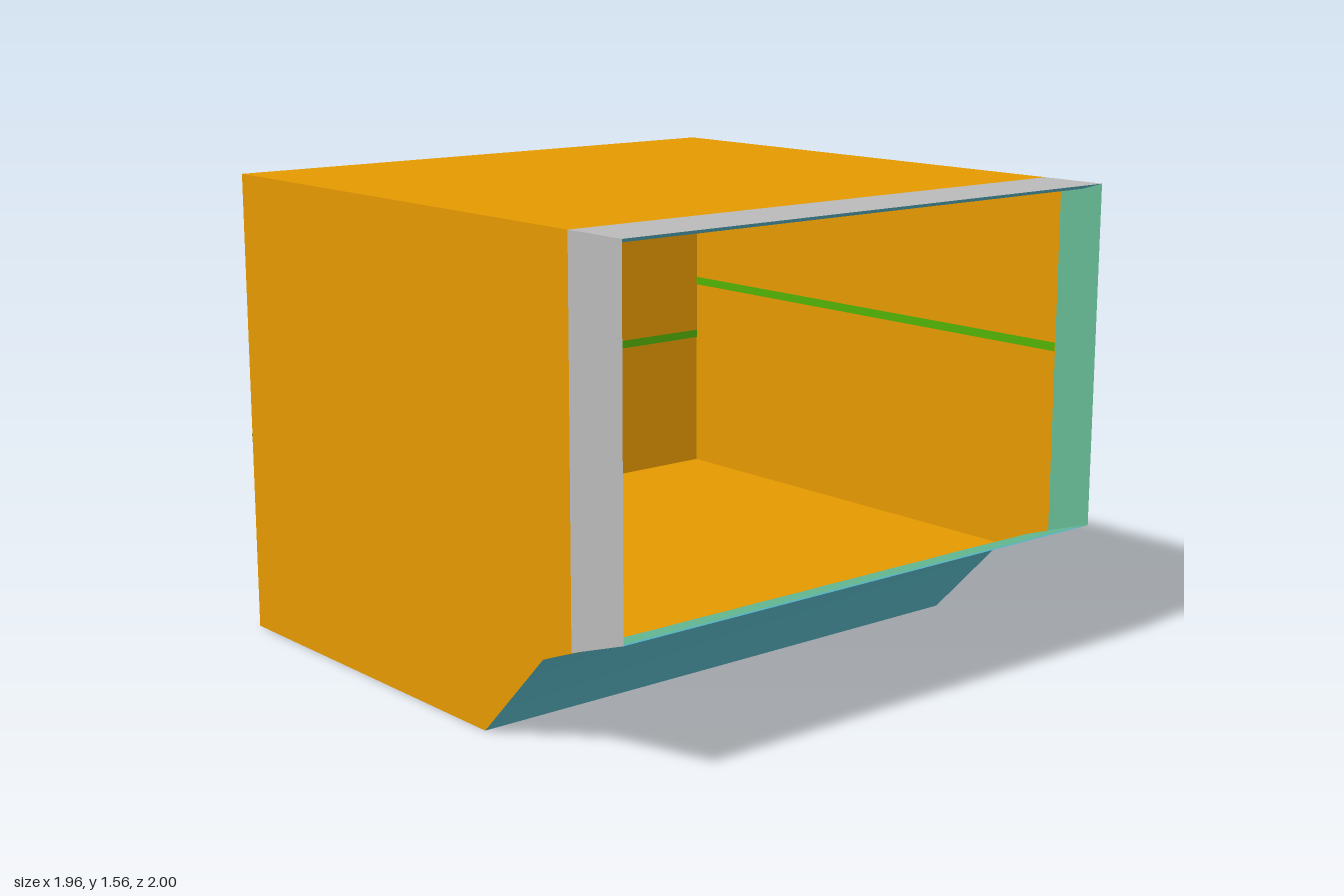
import * as THREE from 'three';
import { mergeVertices } from 'three/addons/utils/BufferGeometryUtils.js';

const W = 0.98, IW = 0.96;          // outer and inner half widths
const TOP = 1.56, CEIL = 1.54;      // roof and ceiling heights
const BACK = -1, IBACK = -0.95;     // outer and inner back planes
const BAND = 0.765, FLOOR = 0.3;    // start of the grey trim, floor height
const LINE = 0.029;                 // width of the painted lines

const paint = (name, color) => {
  const m = new THREE.MeshStandardMaterial({ color, side: THREE.DoubleSide });
  m.name = name;
  return m;
};

export function createModel() {
  const orange = paint('orange', 0xe49800);
  const grey = paint('grey', 0xb9b9b9);
  const teal = paint('teal', 0x57b3c2);
  const seaGreen = paint('sea green', 0x64b892);
  const lineGreen = paint('line green', 0x52b006);
  const model = new THREE.Group();

  const add = (name, geometry, material) => {
    const mesh = new THREE.Mesh(geometry, material);
    mesh.name = name;
    model.add(mesh);
    return mesh;
  };
  // flat polygon, with an optional hole
  const flat = (pts, hole) => {
    const shape = new THREE.Shape(pts.map(p => new THREE.Vector2(...p)));
    if (hole) shape.holes.push(new THREE.Path(hole.map(p => new THREE.Vector2(...p))));
    return new THREE.ShapeGeometry(shape);
  };
  // polygon given as (z, y), standing at a given x
  const sideSheet = (name, pts, x, material) =>
    add(name, flat(pts).rotateY(-Math.PI / 2).translate(x, 0, 0), material);
  // four-cornered sheets, corners in order round the edge
  const quads = (name, list, material, smooth = false) => {
    const pos = [];
    for (const [a, b, c, d] of list) pos.push(...a, ...b, ...c, ...a, ...c, ...d);
    let g = new THREE.BufferGeometry();
    g.setAttribute('position', new THREE.Float32BufferAttribute(pos, 3));
    if (smooth) g = mergeVertices(g);
    g.computeVertexNormals();
    return add(name, g, material);
  };
  // (z, y) profile swept across the width
  const across = (name, pts, w, material, smooth) => quads(name, pts.slice(1).map(([z, y], i) => {
    const [pz, py] = pts[i];
    return [[-w, py, pz], [w, py, pz], [w, y, z], [-w, y, z]];
  }), material, smooth);
  const rect = (u0, v0, u1, v1) => [[u0, v0], [u1, v0], [u1, v1], [u0, v1]];

  // outer shell
  for (const s of [1, -1]) {
    sideSheet('sideWall', [[BACK, 0], [0.335, 0], [0.63, FLOOR], [BAND, 0.355], [BAND, TOP], [BACK, TOP]], s * W, orange);
    sideSheet('sideTrim', [[BAND, 0.355], [1, 0.435], [1, TOP], [BAND, TOP]], s * W, grey);
  }
  across('roof', [[BAND, TOP], [BACK, TOP]], W, orange);
  across('roofTrim', [[1, TOP], [BAND, TOP]], W, grey);
  across('frontApron', [[0.335, 0], [0.63, FLOOR], [BAND, 0.355], [1, 0.435]], W, teal, true);

  // back wall, double skinned around the window
  const win = [[-0.25, FLOOR], [-0.25, 0.87], [0.2, 0.87], [0.2, FLOOR]];
  add('backWall', flat([[-W, 0], [W, 0], [W, TOP], [-W, TOP]], win).translate(0, 0, BACK), orange);
  add('innerBackWall', flat([[-IW, FLOOR], ...win, [IW, FLOOR], [IW, CEIL], [-IW, CEIL]])
    .translate(0, 0, IBACK), orange);
  quads('windowReveal', [0, 1, 2].map(i => {
    const a = win[i], b = win[i + 1];
    return [[...a, BACK], [...b, BACK], [...b, IBACK], [...a, IBACK]];
  }), orange);

  // interior
  across('floor', [[0.63, FLOOR], [IBACK, FLOOR]], W, orange);
  across('ceiling', [[IBACK, CEIL], [0.94, CEIL]], IW, teal);
  across('frontLedge', [[0.995, 0.438], [BAND, 0.36], [0.63, 0.305]], W - 0.002, seaGreen, true);
  for (const s of [1, -1]) {
    sideSheet('innerSideWall', [[IBACK, FLOOR], [0.63, FLOOR], [0.85, 0.385], [0.85, CEIL], [IBACK, CEIL]], s * IW, orange);
    sideSheet('innerSideTrim', [[0.85, 0.385], [0.94, 0.415], [0.94, CEIL], [0.85, CEIL]], s * IW, seaGreen);
  }

  // bevelled rim of the front opening
  const rim = [1, -1].map(s =>
    [[s * W, 0.435, 1], [s * W, TOP, 1], [s * IW, CEIL, 0.94], [s * IW, 0.415, 0.94]]);
  quads('openingSideRim', rim, seaGreen);
  quads('openingTopRim', [[[-IW, CEIL, 0.94], [IW, CEIL, 0.94], [W, TOP, 1], [-W, TOP, 1]]], teal);

  // painted lines on the side walls
  const z0 = -0.116 - LINE / 2, z1 = -0.116 + LINE / 2;
  sideSheet('sideLine', rect(z0, 0.001, z1, TOP - 0.001), W + 0.002, lineGreen);
  for (const s of [1, -1]) {
    sideSheet('innerSkinLine', rect(z0, 0.001, z1, FLOOR - 0.001), s * (W - 0.002), lineGreen);
    sideSheet('innerSideLine', rect(IBACK, 1.012 - LINE / 2, 0.85, 1.012 + LINE / 2), s * (IW - 0.002), lineGreen);
  }
  // painted lines on both faces of the back wall, broken by the window
  const backLine = (name, x0, x1, y, z) =>
    add(name, flat(rect(x0, y - LINE / 2, x1, y + LINE / 2)).translate(0, 0, z), lineGreen);
  backLine('innerBackLine', -IW, win[0][0], 0.804, IBACK + 0.002);
  backLine('innerBackLine', win[2][0], IW, 0.804, IBACK + 0.002);
  backLine('backLine', -W, win[0][0], 0.665, BACK - 0.002);
  backLine('backLine', win[2][0], W, 0.665, BACK - 0.002);
  return model;
}
